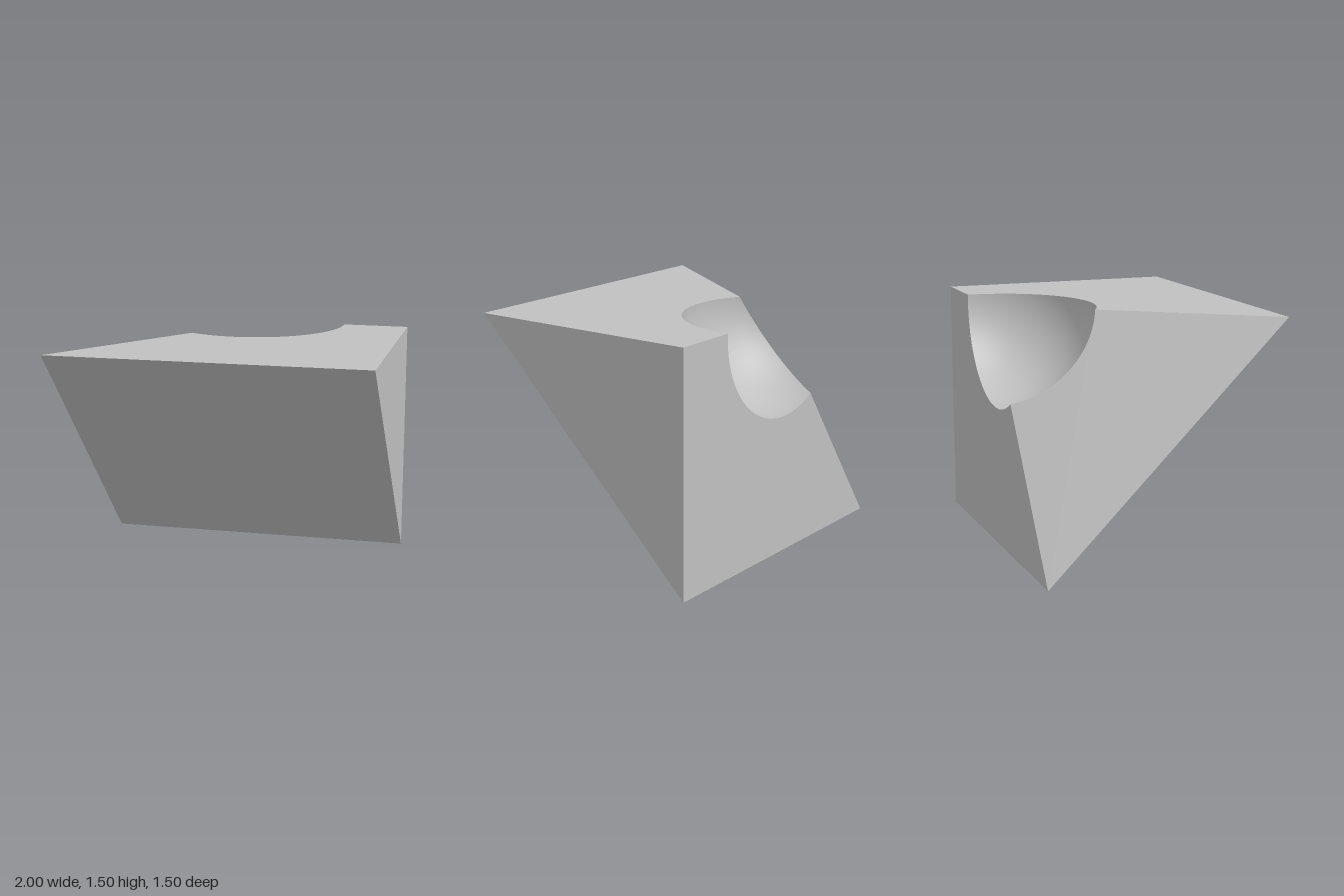
import * as THREE from 'three';

const V = (x, y, z) => new THREE.Vector3(x, y, z);

export function createModel() {
  const group = new THREE.Group();
  const grey = new THREE.MeshStandardMaterial({ color: 0xc0c0c0 });
  grey.name = 'light grey';

  // Corners of the wedge; P is the peak that the bowl cuts away
  const A = V(1, 1.5, -0.75), B = V(1, 0, -0.75), C = V(1, 1.5, 0.75);
  const D = V(-1, 1.5, 0.75), E = V(-1, 0, -0.75), P = V(0.06, 1.5, -0.75);
  const center = V(-0.02, 1.474, -0.724), radius = 0.6;

  // Where an edge running from P leaves the sphere
  const leave = (to) => {
    const d = to.clone().sub(P).normalize(), m = P.clone().sub(center);
    const b = m.dot(d);
    return P.clone().addScaledVector(d, -b + Math.sqrt(b * b - m.lengthSq() + radius * radius));
  };
  const R = leave(A), Q = leave(D), S = leave(E);

  // Circular rim from a to b, in the plane through a, b and P
  const steps = 32;
  const rim = (a, b) => {
    const n = a.clone().sub(P).cross(b.clone().sub(P)).normalize();
    const o = center.clone().addScaledVector(n, P.clone().sub(center).dot(n));
    const from = a.clone().sub(o), to = b.clone().sub(o);
    const angle = Math.atan2(from.clone().cross(to).dot(n), from.dot(to));
    return Array.from({ length: steps + 1 }, (_, i) =>
      from.clone().applyAxisAngle(n, angle * i / steps).add(o));
  };
  const topRim = rim(Q, R), backRim = rim(R, S), sideRim = rim(S, Q);

  // Flat face from a planar outline and its outward direction
  const face = (name, points, normal) => {
    const n = normal.normalize(), o = points[0];
    const e1 = points[1].clone().sub(o).normalize(), e2 = n.clone().cross(e1);
    const flat = points.map((p) => {
      const d = p.clone().sub(o);
      return new THREE.Vector2(d.dot(e1), d.dot(e2));
    });
    const geo = new THREE.ShapeGeometry(new THREE.Shape(flat));
    geo.applyMatrix4(new THREE.Matrix4().makeBasis(e1, e2, n).setPosition(o));
    add(name, geo);
  };
  const add = (name, geo) => {
    const mesh = new THREE.Mesh(geo, grey);
    mesh.name = name;
    group.add(mesh);
  };

  face('topFace', [A, C, D, ...topRim], V(0, 1, 0));
  face('backFace', [E, B, A, ...backRim], V(0, 0, -1));
  face('obliqueFace', [D, E, ...sideRim], D.clone().sub(P).cross(E.clone().sub(P)).multiplyScalar(-1));
  face('slopedFrontFace', [B, C, D, E], V(0, -1, 1));
  face('sideFace', [A, B, C], V(1, 0, 0));

  // Bowl: rings on the sphere from its middle out to the three rims
  const loop = [topRim, backRim, sideRim].flatMap((r) => r.slice(0, -1));
  const pole = R.clone().add(Q).add(S).addScaledVector(center, -3).normalize();
  // Lean the middle towards the deepest part of the solid
  pole.add(V(0.2, -0.8, 0.8)).normalize();
  const rings = 24, count = loop.length;
  const pos = [], nor = [], idx = [];
  for (let j = 0; j <= rings; j++) {
    for (const p of loop) {
      const d = p.clone().sub(center).normalize();
      const angle = pole.angleTo(d), axis = pole.clone().cross(d).normalize();
      const dir = pole.clone().applyAxisAngle(axis, angle * j / rings);
      pos.push(...dir.clone().multiplyScalar(radius).add(center).toArray());
      nor.push(-dir.x, -dir.y, -dir.z);
    }
  }
  // Rims run one way round; pick the winding that faces the sphere centre
  const inward = loop[0].clone().sub(center).cross(loop[1].clone().sub(center)).dot(pole) < 0;
  for (let j = 0; j < rings; j++) {
    for (let i = 0; i < count; i++) {
      const k = (i + 1) % count;
      const a = j * count + i, b = j * count + k, c = a + count, d = b + count;
      if (inward) idx.push(a, c, d, a, d, b);
      else idx.push(a, d, c, a, b, d);
    }
  }
  const bowl = new THREE.BufferGeometry();
  bowl.setAttribute('position', new THREE.Float32BufferAttribute(pos, 3));
  bowl.setAttribute('normal', new THREE.Float32BufferAttribute(nor, 3));
  bowl.setIndex(idx);
  add('bowl', bowl);

  return group;
}
